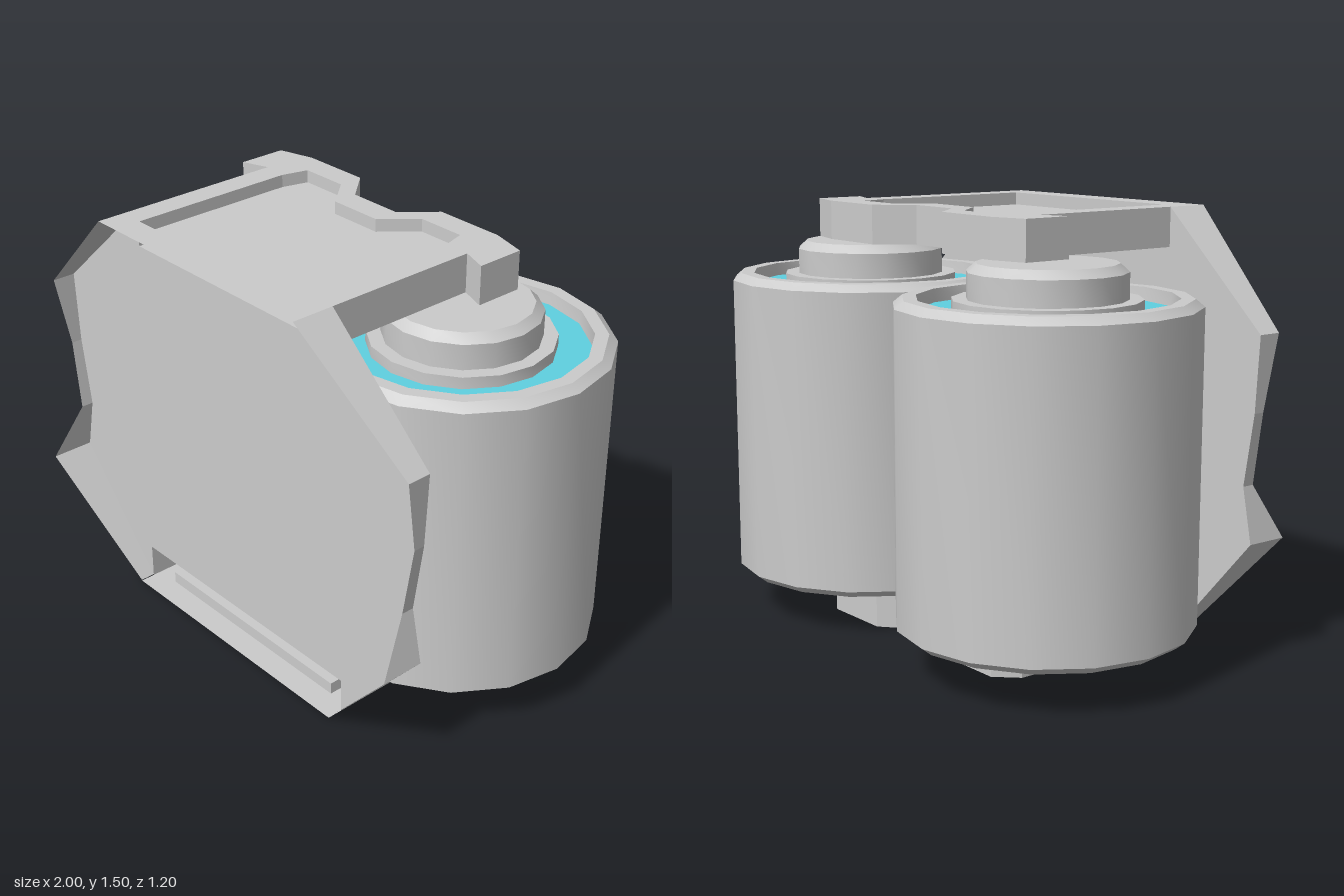
import * as THREE from 'three';
import { toCreasedNormals } from 'three/addons/utils/BufferGeometryUtils.js';

const grey = new THREE.MeshStandardMaterial({ color: 0xcccccc, side: THREE.DoubleSide });
const sheet = new THREE.MeshStandardMaterial({ color: 0xcccccc, side: THREE.DoubleSide, flatShading: true });
const blue = new THREE.MeshStandardMaterial({ color: 0x5fd0e0, side: THREE.DoubleSide });

function add(parent, name, geometry, material) {
  const mesh = new THREE.Mesh(geometry, material);
  mesh.name = name;
  parent.add(mesh);
  return mesh;
}

// Completes a half outline (x > 0) with its mirror image
function mirrored(half) {
  return [...half, ...half.map(([x, ...rest]) => [-x, ...rest]).reverse()];
}

function toShape(points) {
  return new THREE.Shape(points.map(([x, y]) => new THREE.Vector2(x, y)));
}

// Ribbon of quads between two matching 3D paths
function ribbon(a, b) {
  const pos = [];
  for (let i = 0; i < a.length - 1; i++) {
    pos.push(...a[i], ...b[i], ...b[i + 1], ...a[i], ...b[i + 1], ...a[i + 1]);
  }
  const g = new THREE.BufferGeometry();
  g.setAttribute('position', new THREE.Float32BufferAttribute(pos, 3));
  g.computeVertexNormals();
  return g;
}

// Flat horizontal panel from [x, z] points
function panel(points, y, hole) {
  const shape = toShape(points);
  if (hole) shape.holes.push(toShape(hole));
  return new THREE.ShapeGeometry(shape).rotateX(Math.PI / 2).translate(0, y, 0);
}

const BACK = 0.445; // depth of the front plate

// Hollow bracket, open to the front, with a sunken panel on its outer side
function bracket(name, front, half, recessHalf, yOuter, yInner, yRecess) {
  const group = new THREE.Group();
  group.name = name;
  const rim = mirrored(half);
  const recess = mirrored(recessHalf);
  const x = half[0][0];
  const at = (pts, y) => pts.map(([px, pz]) => [px, y, pz]);
  add(group, 'outerSkin', panel([[x, front], ...rim, [-x, front]], yOuter, recess), sheet);
  add(group, 'innerSkin', panel(rim, yInner), sheet);
  add(group, 'sideWall', ribbon(at(rim, yOuter), at(rim, yInner)), sheet);
  add(group, 'recessFloor', panel(recess, yRecess), sheet);
  const loop = [...recess, recess[0]];
  add(group, 'recessWall', ribbon(at(loop, yOuter), at(loop, yRecess)), sheet);
  return group;
}

function frontPlate() {
  const group = new THREE.Group();
  group.name = 'frontPlate';
  // Right edge from top to bottom: x, y and depth of the flared rim
  const edge = [
    [0.49, 1.505, 0.6], [0.915, 1.12, 0.53], [0.9, 0.86, 0.485],
    [0.86, 0.61, 0.49], [0.9, 0.42, 0.6], [0.53, 0.005, 0.5],
  ];
  // Face, notched where the brackets open
  const face = mirrored([
    [0.49, 1.37], ...edge.map(([x, y]) => [x, y]), [0.53, 0.13],
  ]);
  add(group, 'face', new THREE.ShapeGeometry(toShape(face)).translate(0, 0, BACK), sheet);
  for (const s of [1, -1]) {
    const rim = edge.map(([x, y, z]) => [s * x, y, z]);
    const root = edge.map(([x, y]) => [s * x, y, BACK]);
    add(group, 'rim', ribbon(rim, root), sheet);
  }
  return group;
}

function canister() {
  const group = new THREE.Group();
  group.name = 'canister';
  const turned = (pts) => toCreasedNormals(
    new THREE.LatheGeometry(pts.map(([r, y]) => new THREE.Vector2(r, y)), 16), 0.5);
  // Body with chamfered ends and a sunken top
  add(group, 'body', turned([
    [0, 0.145], [0.465, 0.145], [0.5, 0.172], [0.5, 1.22], [0.47, 1.245], [0.425, 1.245], [0.42, 1.2],
  ]), grey);
  add(group, 'blueRing', turned([[0.42, 1.2], [0.3, 1.2]]), blue);
  add(group, 'collar', turned([[0.31, 1.2], [0.31, 1.24], [0.262, 1.24]]), grey);
  add(group, 'cap', turned([[0.262, 1.2], [0.262, 1.327], [0.232, 1.355], [0, 1.355]]), grey);
  return group;
}

export function createModel() {
  const model = new THREE.Group();
  model.name = 'twinCanisterPack';

  for (const s of [1, -1]) {
    const c = canister();
    c.position.set(s * 0.5, 0, -0.1);
    model.add(c);
  }

  model.add(frontPlate());

  // Top bracket with hooked rear corners
  model.add(bracket('topBracket', 0.6,
    [[0.49, BACK], [0.49, -0.12], [0.585, -0.085], [0.585, -0.26], [0.455, -0.295], [0.2, -0.295], [0.1, -0.18]],
    [[0.4, 0.5], [0.4, -0.11], [0.375, -0.205], [0.2, -0.205], [0.1, -0.09]],
    1.505, 1.37, 1.46));

  // Bottom bracket with chamfered rear corners
  model.add(bracket('bottomBracket', 0.5,
    [[0.53, BACK], [0.53, -0.22], [0.46, -0.295], [0.2, -0.295], [0.07, -0.18]],
    [[0.44, 0.41], [0.44, -0.17], [0.41, -0.205], [0.22, -0.205], [0.1, -0.09]],
    0.002, 0.13, 0.045));

  return model;
}
